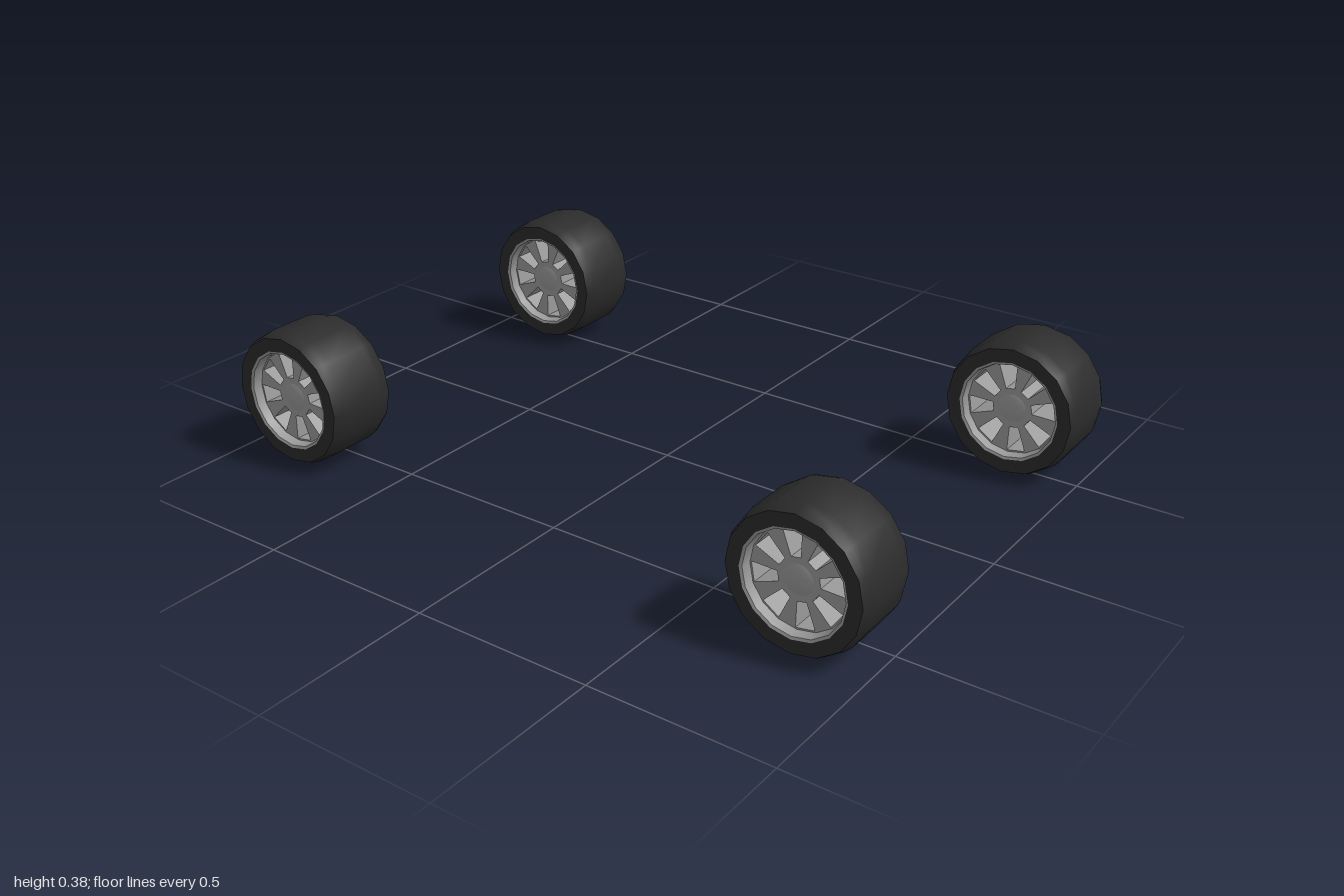
import * as THREE from 'three';
import { toCreasedNormals } from 'three/addons/utils/BufferGeometryUtils.js';

const SIDES = 16;
const HALF = 0.103; // half width of a wheel

// Lathe around the axle (x axis) from [radius, offset] pairs
function axleLathe(points) {
  const profile = points.map(([r, o]) => new THREE.Vector2(r, o));
  const geo = new THREE.LatheGeometry(profile, SIDES).rotateZ(-Math.PI / 2);
  return toCreasedNormals(geo, THREE.MathUtils.degToRad(35));
}

// Disc with eight tapered windows, leaving the spokes between them
function spokeGeometry(depth) {
  const shape = new THREE.Shape();
  shape.absarc(0, 0, 0.136, 0, Math.PI * 2, false);
  for (let i = 0; i < 8; i++) {
    const a = THREE.MathUtils.degToRad(80 + i * 45);
    const corners = [[0.056, -0.013], [0.124, -0.026], [0.124, 0.026], [0.056, 0.013]];
    const pts = corners.map(([x, y]) =>
      new THREE.Vector2(x, y).rotateAround(new THREE.Vector2(), a));
    shape.holes.push(new THREE.Path(pts.reverse()));
  }
  const geo = new THREE.ExtrudeGeometry(shape, { depth, bevelEnabled: false, curveSegments: SIDES });
  return geo.translate(0, 0, -depth / 2).rotateY(Math.PI / 2);
}

export function createModel() {
  const rubber = new THREE.MeshStandardMaterial({ color: 0x2b2b2b });
  rubber.name = 'black rubber';
  const alloy = new THREE.MeshStandardMaterial({ color: 0x9c9c9c });
  alloy.name = 'grey alloy';

  // Tyre: sidewalls, sloped shoulders and flat tread
  const tyreGeo = axleLathe([
    [0.143, -HALF], [0.181, -HALF], [0.188, -0.085], [0.192, -0.06],
    [0.192, 0.06], [0.188, 0.085], [0.181, HALF], [0.143, HALF],
  ]);
  // Rim: lips on both sides joined by the inner barrel
  const rimGeo = axleLathe([
    [0.143, HALF], [0.136, 0.1], [0.131, 0.075],
    [0.131, -0.075], [0.136, -0.1], [0.143, -HALF],
  ]);
  const spokeGeo = spokeGeometry(0.15);
  // Hub: low cap on both faces
  const hubGeo = axleLathe([
    [0, -0.08], [0.025, -0.08], [0.04, -0.075], [0.04, 0.075], [0.025, 0.08], [0, 0.08],
  ]);

  const parts = [
    ['tyre', tyreGeo, rubber],
    ['rim', rimGeo, alloy],
    ['spokes', spokeGeo, alloy],
    ['hub', hubGeo, alloy],
  ];

  const model = new THREE.Group();
  model.name = 'wheelSet';
  for (const sx of [1, -1]) {
    for (const sz of [1, -1]) {
      const wheel = new THREE.Group();
      wheel.name = (sz > 0 ? 'front' : 'rear') + (sx > 0 ? 'Left' : 'Right') + 'Wheel';
      for (const [name, geo, mat] of parts) {
        const mesh = new THREE.Mesh(geo, mat);
        mesh.name = name;
        wheel.add(mesh);
      }
      wheel.position.set(sx * 0.542, 0.196, sz * 0.808);
      model.add(wheel);
    }
  }
  return model;
}
